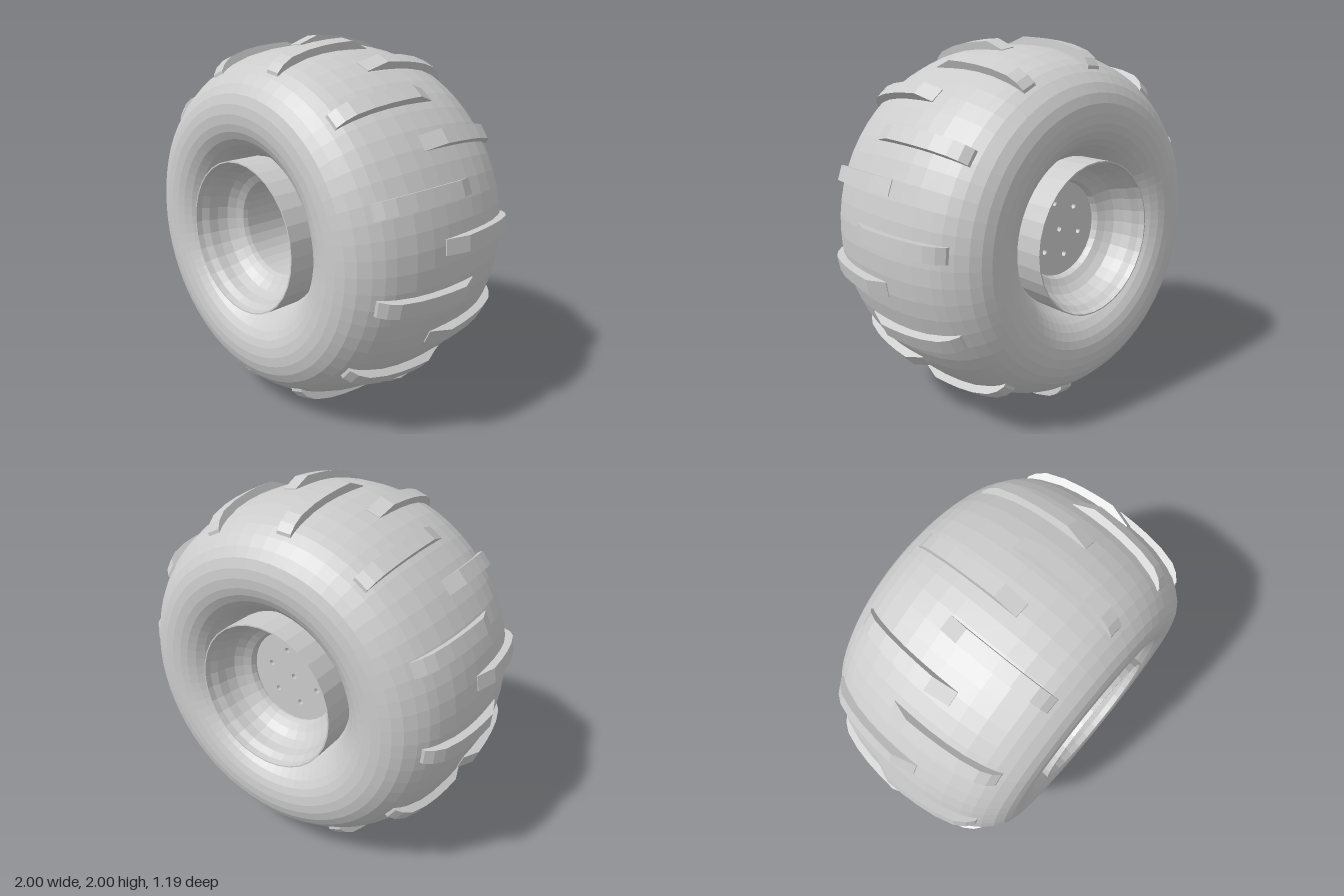
import * as THREE from 'three';

const material = new THREE.MeshStandardMaterial({ color: 0xcccccc, flatShading: true, side: THREE.DoubleSide });

// Revolve a [radius, z] profile around the axle (z axis)
function revolve(name, profile, segments) {
  const geometry = new THREE.LatheGeometry(profile.map(([r, z]) => new THREE.Vector2(r, z)), segments);
  geometry.rotateX(Math.PI / 2);
  const mesh = new THREE.Mesh(geometry, material);
  mesh.name = name;
  return mesh;
}

// Mirror a half profile (listed from the middle to the front) to the back
function mirrored(half) {
  const back = half.filter(([, z]) => z > 0).map(([r, z]) => [r, -z]).reverse();
  return [...back, ...half];
}

// Radial lug: side outline in (z, radius), extruded across its width
function lugGeometry(side, innerEnd) {
  const outline = [
    [0.48, 0.865], [0.45, 0.903], [0.40, 0.937], [0.30, 0.967], [0.20, 0.984], [0.10, 0.994], [0, 0.999],
    [innerEnd, 0.957], [innerEnd, 0.90], [0.2, 0.88], [0.38, 0.84], [0.48, 0.79],
  ];
  const shape = new THREE.Shape(outline.map(([z, r]) => new THREE.Vector2(z * side, r)));
  const width = 0.08;
  const geometry = new THREE.ExtrudeGeometry(shape, { depth: width, bevelEnabled: false });
  geometry.translate(0, 0, -width / 2);
  geometry.rotateY(-Math.PI / 2);
  return geometry;
}

export function createModel() {
  const model = new THREE.Group();
  model.name = 'wheel';
  const wheel = new THREE.Group();
  wheel.name = 'tireAndRim';
  wheel.position.y = 1;
  model.add(wheel);

  // Balloon tire
  wheel.add(revolve('tire', mirrored([
    [0.957, 0], [0.955, 0.1], [0.946, 0.2], [0.928, 0.3], [0.895, 0.4], [0.871, 0.45], [0.835, 0.5],
    [0.788, 0.548], [0.74, 0.577], [0.69, 0.592], [0.64, 0.596], [0.59, 0.59], [0.55, 0.577],
    [0.51, 0.553], [0.475, 0.52], [0.448, 0.482], [0.425, 0.44], [0.40, 0.40],
  ]), 64));

  // Rim: outer skin with protruding lips, then the bowls and barrel inside
  const outer = mirrored([[0.39, 0], [0.39, 0.36], [0.405, 0.4], [0.405, 0.597]]);
  const inner = mirrored([
    [0.26, 0], [0.26, 0.345], [0.27, 0.37], [0.305, 0.395], [0.34, 0.43], [0.362, 0.48],
    [0.372, 0.53], [0.392, 0.565], [0.398, 0.597],
  ]).reverse();
  wheel.add(revolve('rim', [...outer, ...inner, outer[0]], 32));

  // Hub plate near the back, with a ring of bolt holes
  const plate = new THREE.Shape().absarc(0, 0, 0.262, 0, Math.PI * 2);
  const addHole = (x, y) => plate.holes.push(new THREE.Path().absarc(x, y, 0.015, 0, Math.PI * 2, true));
  addHole(0, 0);
  for (let i = 0; i < 6; i++) {
    const a = Math.PI / 12 + i * Math.PI / 3;
    addHole(0.153 * Math.cos(a), 0.153 * Math.sin(a));
  }
  const hub = new THREE.Mesh(
    new THREE.ExtrudeGeometry(plate, { depth: 0.03, bevelEnabled: false, curveSegments: 16 }), material);
  hub.name = 'hubPlate';
  hub.position.z = -0.335;
  wheel.add(hub);

  // Two staggered rows of twelve lugs
  for (const [name, side, start, innerEnd] of [['frontLug', 1, 20, -0.11], ['backLug', -1, 5, -0.125]]) {
    const geometry = lugGeometry(side, innerEnd);
    for (let i = 0; i < 12; i++) {
      const lug = new THREE.Mesh(geometry, material);
      lug.name = name;
      lug.rotation.z = THREE.MathUtils.degToRad(start + i * 30 - 90);
      wheel.add(lug);
    }
  }
  return model;
}
